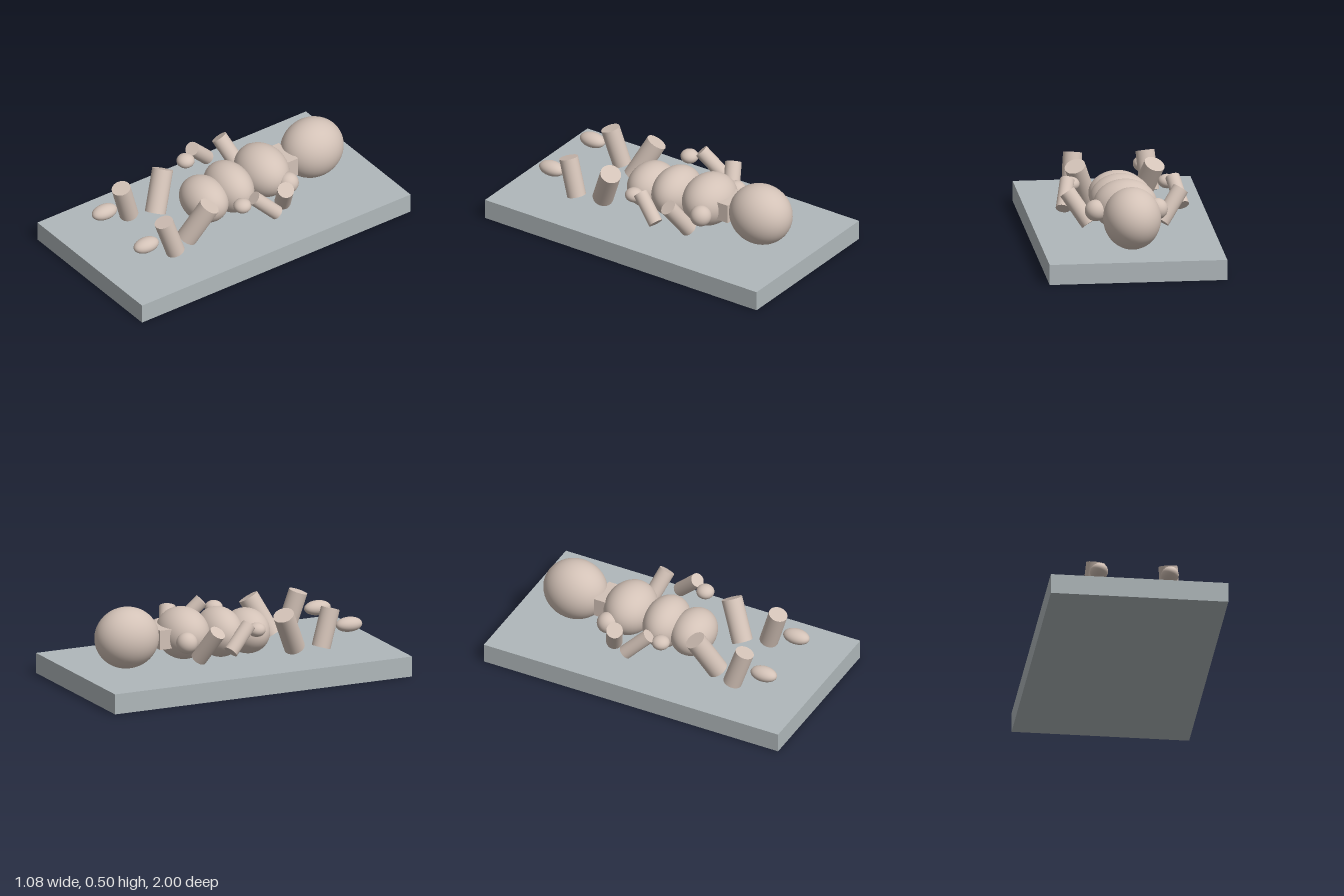
import * as THREE from 'three';

export function createModel() {
  const model = new THREE.Group();
  model.name = 'lyingBabyMannequin';
  const skin = new THREE.MeshStandardMaterial({ color: 0xd3c2b7 });
  skin.name = 'skin';
  const grey = new THREE.MeshStandardMaterial({ color: 0xb0b8bb });
  grey.name = 'slabGrey';

  function add(parent, name, geometry, material, position) {
    const mesh = new THREE.Mesh(geometry, material);
    mesh.name = name;
    mesh.position.set(...position);
    parent.add(mesh);
    return mesh;
  }

  // Ellipsoid with its poles along y
  function ellipsoid(parent, name, center, radii) {
    const geometry = new THREE.SphereGeometry(1, 40, 28).scale(...radii);
    return add(parent, name, geometry, skin, center);
  }

  // Cylinder running between two joint points
  function limb(parent, name, from, to, radius) {
    const a = new THREE.Vector3(...from);
    const b = new THREE.Vector3(...to);
    const axis = b.clone().sub(a);
    const geometry = new THREE.CylinderGeometry(radius, radius, axis.length(), 32);
    const mesh = add(parent, name, geometry, skin, a.add(b).multiplyScalar(0.5).toArray());
    mesh.quaternion.setFromUnitVectors(new THREE.Vector3(0, 1, 0), axis.normalize());
    return mesh;
  }

  // Slab
  add(model, 'slab', new THREE.BoxGeometry(1.08, 0.125, 2), grey, [0, 0.0625, 0]);

  // Head, neck and torso
  ellipsoid(model, 'head', [0, 0.31, -0.655], [0.175, 0.188, 0.201]);
  add(model, 'neck', new THREE.BoxGeometry(0.2, 0.12, 0.1), skin, [0, 0.295, -0.43]);
  ellipsoid(model, 'chest', [0, 0.297, -0.28], [0.195, 0.158, 0.156]);
  ellipsoid(model, 'belly', [0, 0.275, -0.035], [0.188, 0.152, 0.135]);
  ellipsoid(model, 'pelvis', [0, 0.26, 0.15], [0.175, 0.137, 0.136]);

  // Arms and legs, mirrored
  for (const [side, s] of [['left', 1], ['right', -1]]) {
    const arm = new THREE.Group();
    arm.name = side + 'Arm';
    ellipsoid(arm, 'shoulder', [s * 0.187, 0.283, -0.342], [0.065, 0.065, 0.065]);
    limb(arm, 'upperArm', [s * 0.22, 0.187, -0.278], [s * 0.345, 0.37, -0.212], 0.05);
    limb(arm, 'forearm', [s * 0.362, 0.245, -0.133], [s * 0.32, 0.387, 0.008], 0.044);
    ellipsoid(arm, 'hand', [s * 0.293, 0.343, 0.075], [0.055, 0.043, 0.055]);

    const leg = new THREE.Group();
    leg.name = side + 'Leg';
    limb(leg, 'thigh', [s * 0.242, 0.396, 0.282], [s * 0.162, 0.165, 0.395], 0.064);
    limb(leg, 'shin', [s * 0.22, 0.398, 0.608], [s * 0.24, 0.168, 0.535], 0.058);
    ellipsoid(leg, 'foot', [s * 0.215, 0.28, 0.735], [0.054, 0.045, 0.086]);

    model.add(arm, leg);
  }
  return model;
}
